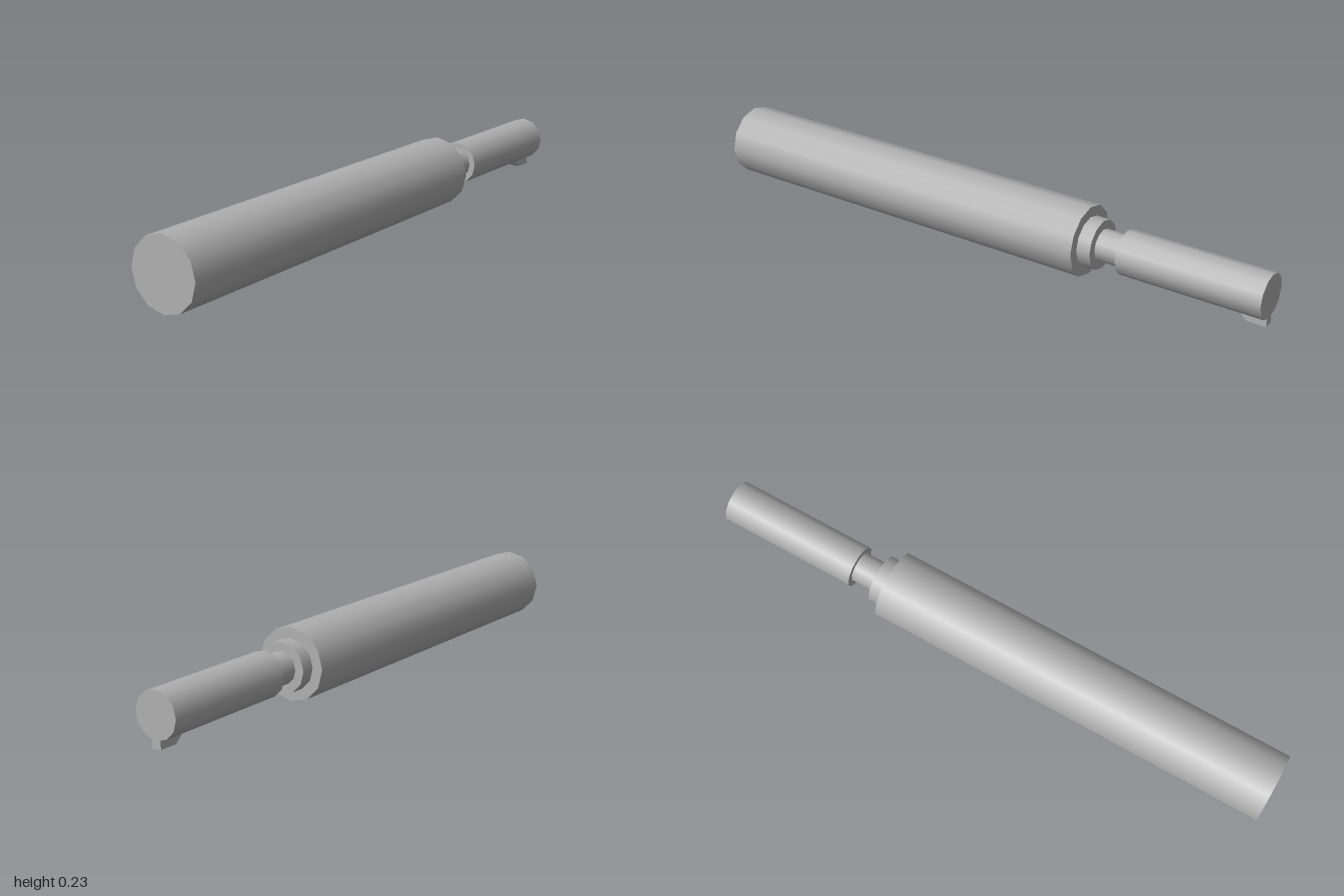
import * as THREE from 'three';

const CENTER_Y = 0.117;

export function createModel() {
  const group = new THREE.Group();
  const grey = new THREE.MeshStandardMaterial({ color: 0xb0b0b0 });
  grey.name = 'plain grey';

  // Coaxial twelve-sided sections: name, radius, front z, back z
  const sections = [
    ['handle', 0.117, 1, -0.388],
    ['collar', 0.082, -0.388, -0.435],
    ['neck', 0.052, -0.435, -0.518],
    ['shaft', 0.073, -0.518, -1],
  ];
  for (const [name, radius, front, back] of sections) {
    const geometry = new THREE.CylinderGeometry(radius, radius, front - back, 12);
    geometry.rotateX(Math.PI / 2);
    const mesh = new THREE.Mesh(geometry, grey);
    mesh.name = name;
    mesh.position.set(0, CENTER_Y, (front + back) / 2);
    group.add(mesh);
  }

  // Small key under the shaft's end, with a sloped leading edge
  const width = 0.03;
  const profile = new THREE.Shape([
    new THREE.Vector2(1, 0.06),
    new THREE.Vector2(0.893, 0.06),
    new THREE.Vector2(0.937, 0.02),
    new THREE.Vector2(1, 0.02),
  ]);
  const keyGeometry = new THREE.ExtrudeGeometry(profile, { depth: width, bevelEnabled: false });
  keyGeometry.translate(0, 0, -width / 2);
  keyGeometry.rotateY(Math.PI / 2); // profile x runs toward -z
  const key = new THREE.Mesh(keyGeometry, grey);
  key.name = 'key';
  group.add(key);

  return group;
}
